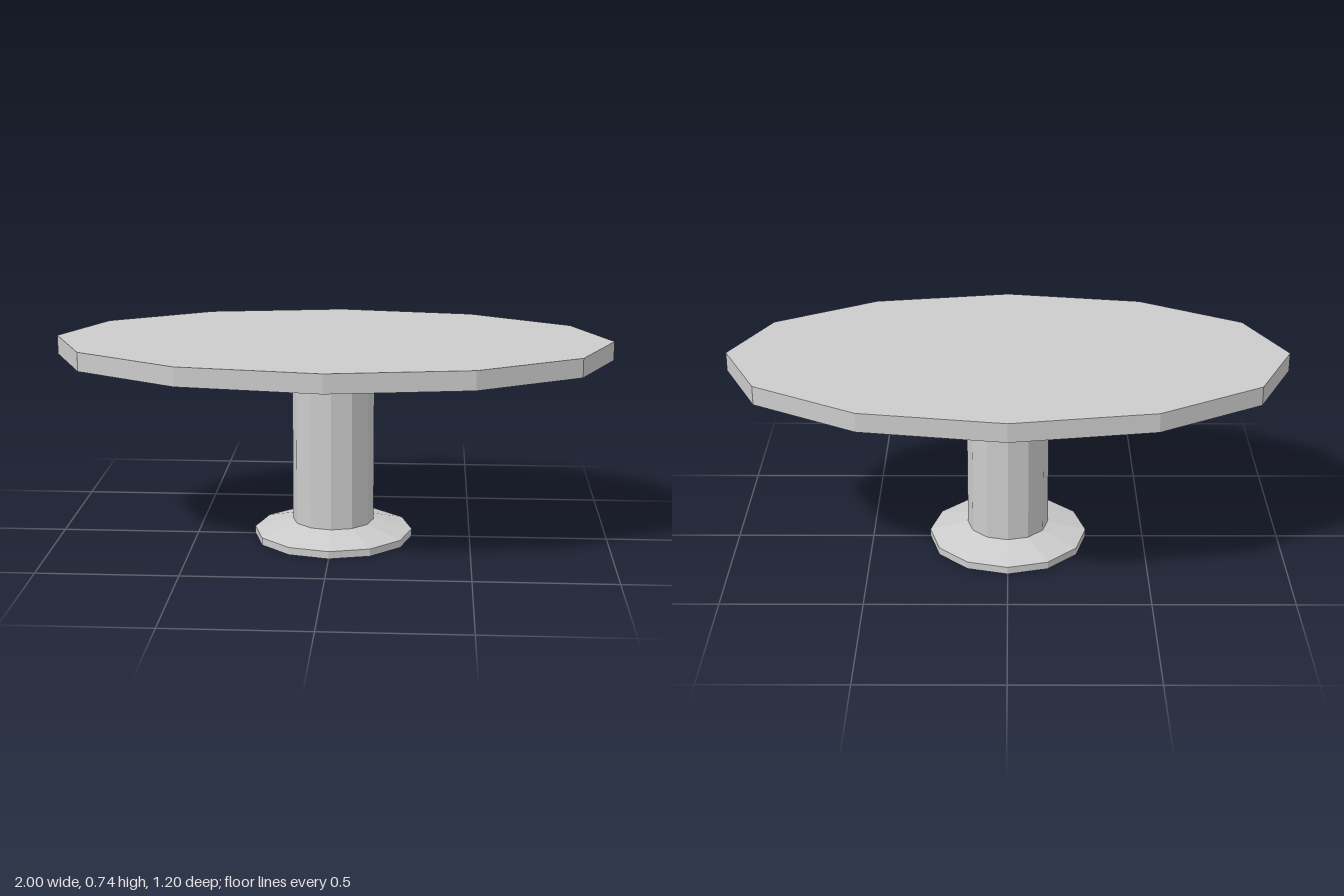
import * as THREE from 'three';

const SIDES = 12;

export function createModel() {
  const group = new THREE.Group();
  const material = new THREE.MeshStandardMaterial({ color: 0xcccccc, flatShading: true });

  // Adds a twelve-sided drum between two heights
  function addDrum(name, rTop, rBottom, y0, y1, open = false) {
    const geometry = new THREE.CylinderGeometry(rTop, rBottom, y1 - y0, SIDES, 1, open);
    const mesh = new THREE.Mesh(geometry, material);
    mesh.name = name;
    mesh.position.y = (y0 + y1) / 2;
    group.add(mesh);
    return mesh;
  }

  // Oval table top
  addDrum('tableTop', 1, 1, 0.667, 0.735).scale.z = 0.6;

  // Central column
  addDrum('column', 0.148, 0.148, 0.063, 0.667, true);

  // Foot: sloping collar on a flat rim
  addDrum('footSlope', 0.148, 0.288, 0.027, 0.063, true);
  const rim = addDrum('footRim', 0.288, 0.288, 0, 0.027);
  rim.name = 'footRim';

  return group;
}
